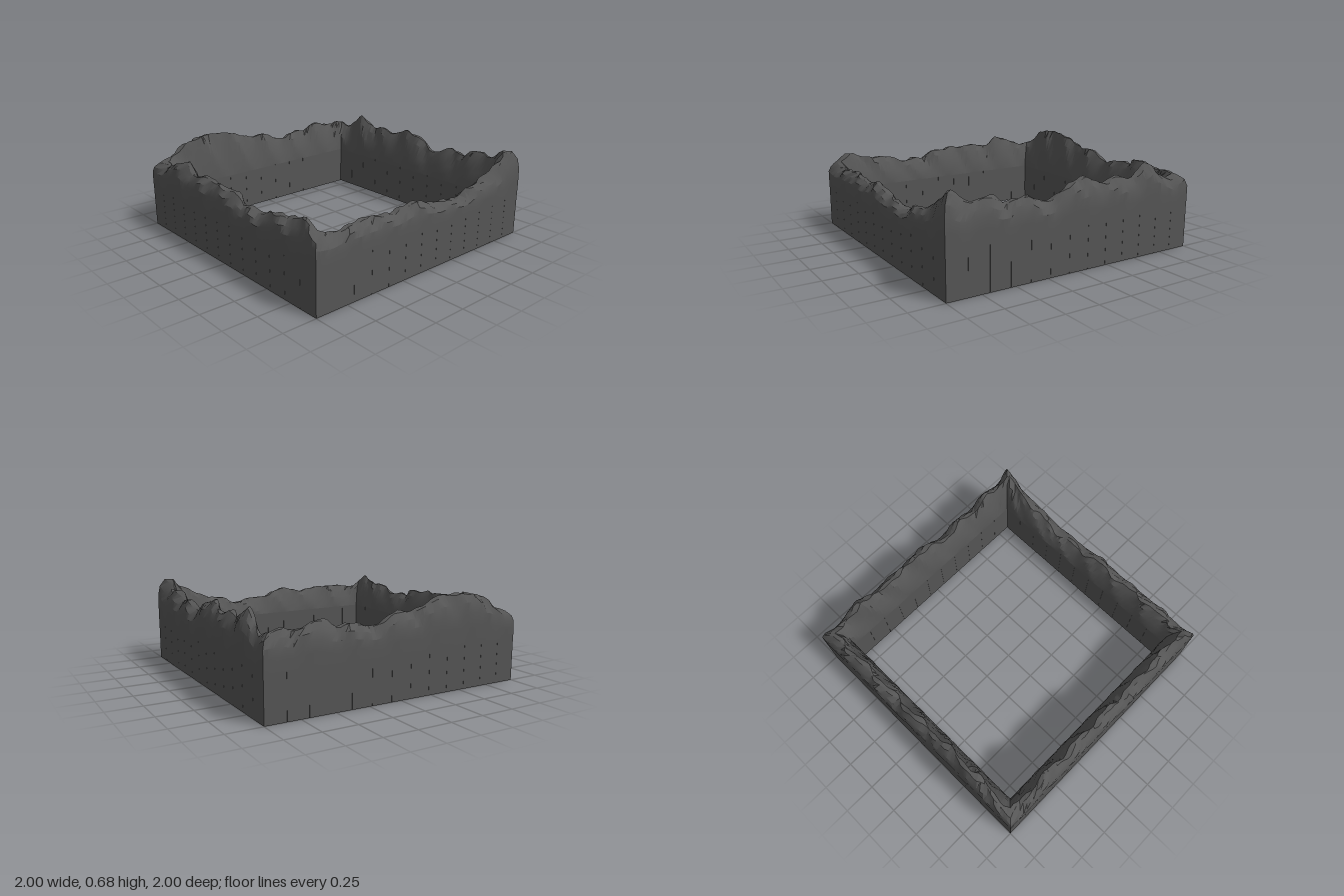
import * as THREE from 'three';
import { toCreasedNormals } from 'three/addons/utils/BufferGeometryUtils.js';

const BASE_H = 0.31, COUNT = 13, SIZE = 2 / COUNT;

// Crest heights around the loop: front, right, back, left (20 steps each)
const CREST = [
  0.52, 0.51, 0.54, 0.57, 0.60, 0.53, 0.54, 0.555, 0.54, 0.55,
  0.53, 0.54, 0.48, 0.49, 0.47, 0.51, 0.53, 0.53, 0.55, 0.58,
  0.52, 0.48, 0.49, 0.50, 0.50, 0.50, 0.49, 0.475, 0.50, 0.51,
  0.48, 0.45, 0.45, 0.43, 0.42, 0.47, 0.48, 0.50, 0.55, 0.60,
  0.66, 0.59, 0.58, 0.60, 0.54, 0.55, 0.56, 0.51, 0.51, 0.57,
  0.60, 0.625, 0.58, 0.565, 0.60, 0.57, 0.60, 0.655, 0.58, 0.52,
  0.55, 0.56, 0.545, 0.575, 0.59, 0.54, 0.55, 0.53, 0.51, 0.55,
  0.59, 0.58, 0.60, 0.635, 0.66, 0.67, 0.67, 0.66, 0.63, 0.55,
];

// Cross-section: distance from the centre, share of the crest height, roughness
const SECTION = [
  [1, 0, 0], [1, 0.35, 0], [0.997, 0.62, 0.003], [0.978, 0.82, 0.01],
  [0.945, 0.98, 0.012], [0.918, 1, 0.012], [0.893, 0.8, 0.01],
  [0.868, 0.48, 0.008], [0.852, 0.2, 0.004], [0.846, 0, 0],
];

// Smooth interpolation through the looped crest heights
function crestAt(s) {
  const n = CREST.length, i = Math.floor(s), f = s - i;
  const [a, b, c, d] = [-1, 0, 1, 2].map((k) => CREST[(i + k + n) % n]);
  return b + 0.5 * f * (c - a + f * (2 * a - 5 * b + 4 * c - d + f * (3 * (b - c) + d - a)));
}

// Point on a square loop of half-size d; side 0 front, 1 right, 2 back, 3 left
function onSquare(side, t, d) {
  return [[t, 1], [1, -t], [-t, -1], [-1, t]][side].map((v) => v * d);
}

// Rocky ridge swept around the square with mitred corners
function ridgeGeometry() {
  const perSide = 60, total = perSide * 4, rows = SECTION.length;
  const pos = [], index = [];
  for (let i = 0; i < total; i++) {
    const side = Math.floor(i / perSide), t = ((i % perSide) / perSide) * 2 - 1;
    const h = crestAt((i / perSide) * 20) - BASE_H;
    SECTION.forEach(([d, k, rough], j) => {
      const wave = Math.sin(i * 0.63 + j * 0.7) + 0.6 * Math.sin(i * 1.31 + j * 2.1);
      const [x, z] = onSquare(side, t, Math.min(1, d + rough * wave));
      pos.push(x, BASE_H + h * k + rough * 0.4 * Math.sin(i * 1.7 + j * 1.3), z);
      if (j === rows - 1) return;
      const a = i * rows + j, b = ((i + 1) % total) * rows + j;
      index.push(a, b, b + 1, a, b + 1, a + 1);
    });
  }
  const geo = new THREE.BufferGeometry();
  geo.setAttribute('position', new THREE.Float32BufferAttribute(pos, 3));
  geo.setIndex(index);
  return toCreasedNormals(geo, 0.45);
}

export function createModel() {
  const model = new THREE.Group();
  model.name = 'rockyFrame';
  const stone = new THREE.MeshStandardMaterial({ color: 0x555555 });

  // Base ring of square blocks
  const base = new THREE.Group();
  base.name = 'baseBlocks';
  const blockGeo = new THREE.BoxGeometry(SIZE - 0.001, BASE_H, SIZE - 0.001);
  const edge = 1 - SIZE / 2;
  for (let side = 0; side < 4; side++) {
    for (let i = 0; i < COUNT - 1; i++) {
      const [x, z] = onSquare(side, (i / (COUNT - 1)) * 2 - 1, edge);
      const block = new THREE.Mesh(blockGeo, stone);
      block.name = 'baseBlock';
      block.position.set(x, BASE_H / 2, z);
      base.add(block);
    }
  }
  model.add(base);

  // Rock crest on top of the blocks
  const ridge = new THREE.Mesh(ridgeGeometry(), stone);
  ridge.name = 'rockRidge';
  model.add(ridge);
  return model;
}
